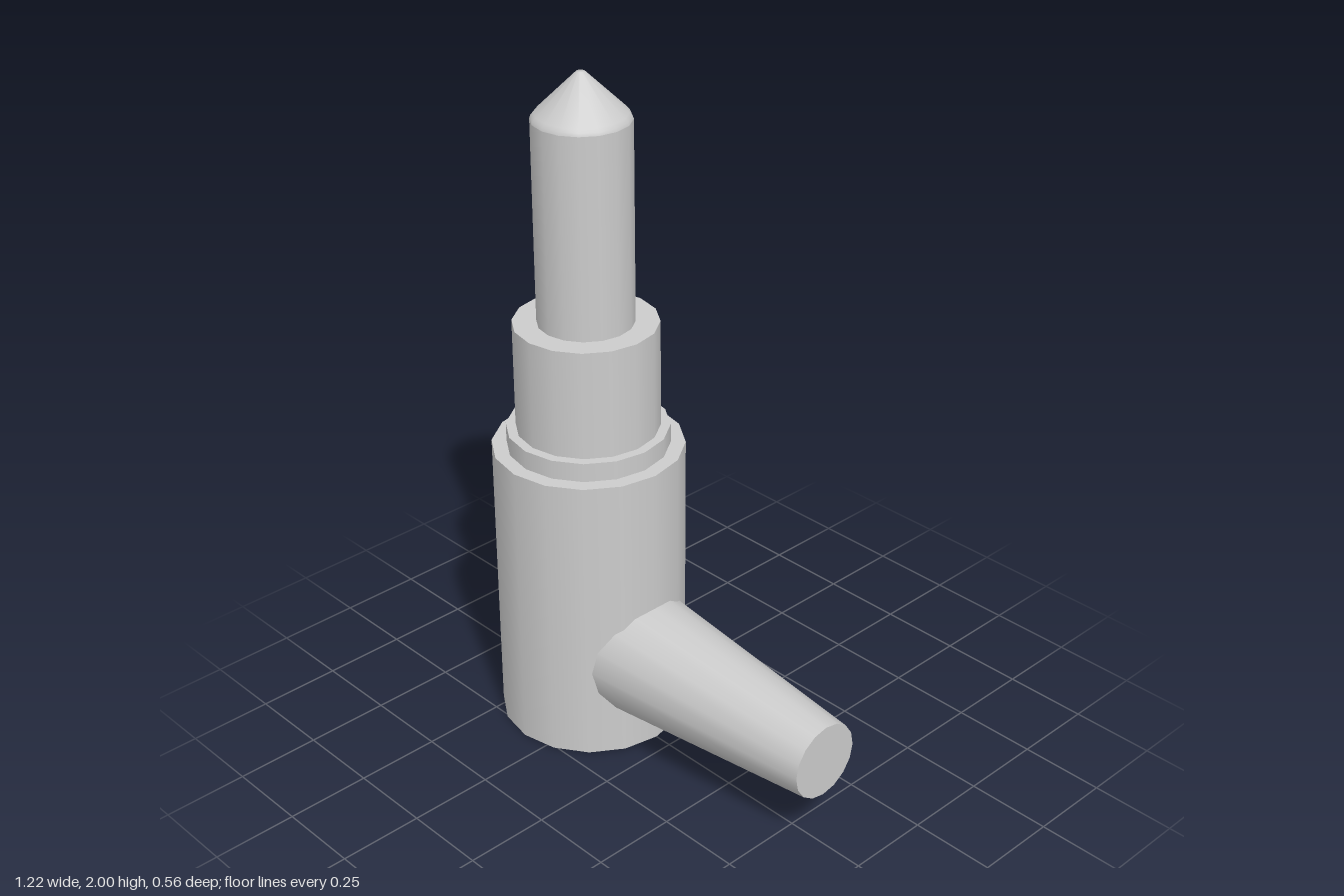
import * as THREE from 'three';

const SIDES = 16;
const AXIS_X = -0.333; // upright axis of the body

export function createModel() {
  const model = new THREE.Group();
  const material = new THREE.MeshStandardMaterial({ color: 0xcccccc });

  const add = (name, geometry, x, y) => {
    const mesh = new THREE.Mesh(geometry, material);
    mesh.name = name;
    mesh.position.set(x, y, 0);
    model.add(mesh);
    return mesh;
  };

  // Upright cylinder between two heights
  const column = (name, radius, y0, y1) =>
    add(name, new THREE.CylinderGeometry(radius, radius, y1 - y0, SIDES), AXIS_X, (y0 + y1) / 2);

  // Stepped body
  column('body', 0.278, 0, 0.9);
  column('shoulderRing', 0.235, 0.9, 0.957);
  column('collar', 0.207, 0.957, 1.282);
  column('pin', 0.138, 1.282, 1.87);

  // Pointed tip with a softened rim and a tiny flat end
  const tipProfile = [[0.138, 0], [0.135, 0.009], [0.127, 0.018], [0.012, 0.13], [0, 0.13]]
    .map(([r, y]) => new THREE.Vector2(r, y));
  add('pinTip', new THREE.LatheGeometry(tipProfile, SIDES), AXIS_X, 1.87);

  // Tapered side arm, its wide end buried in the body
  const x0 = -0.25, x1 = 0.611;
  const arm = add('sideArm', new THREE.CylinderGeometry(0.113, 0.197, x1 - x0, SIDES), (x0 + x1) / 2, 0.282);
  arm.rotation.z = -Math.PI / 2;

  return model;
}
